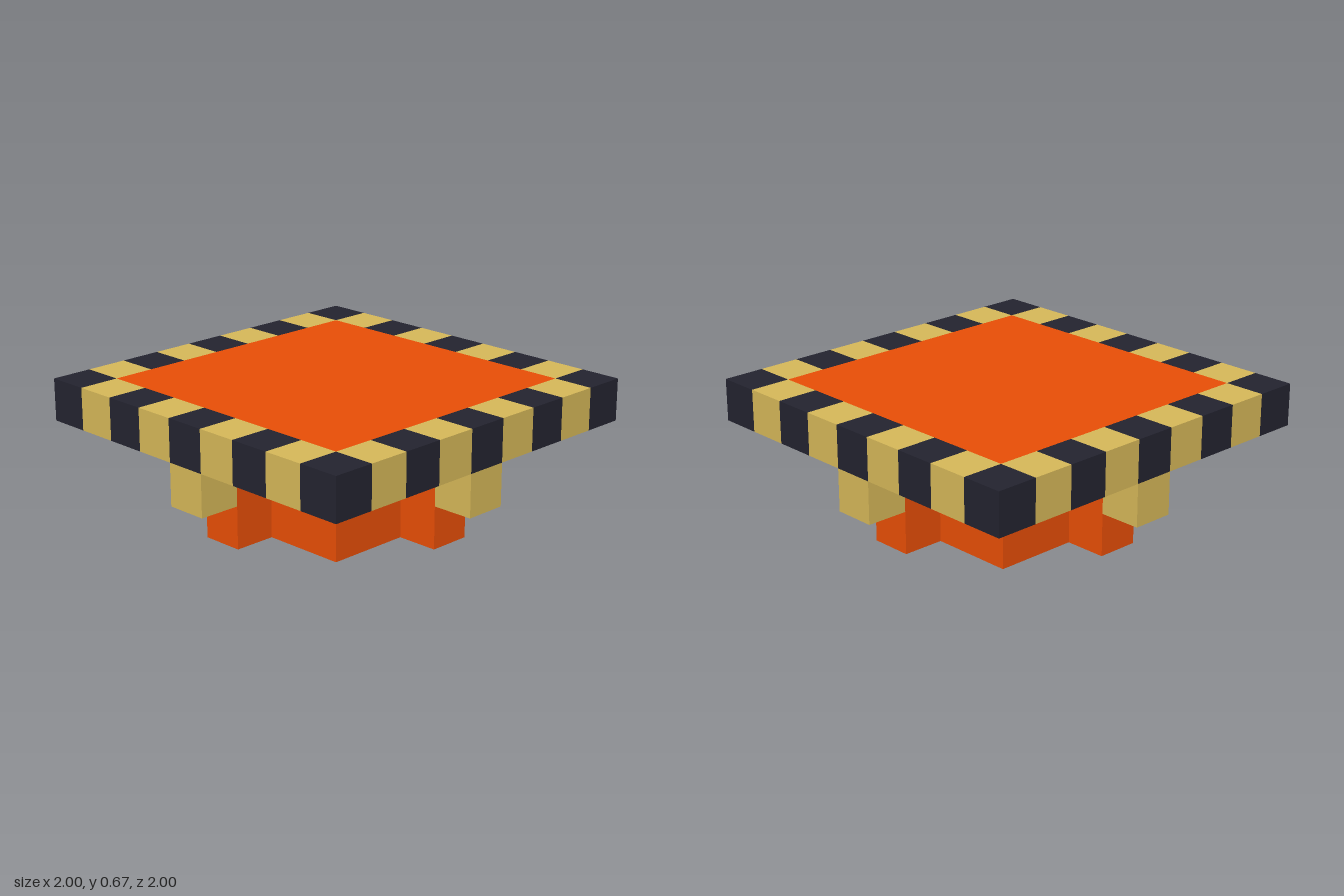
import * as THREE from 'three';

const S = 2 / 9; // edge of one cell; the slab is 9 x 9 cells, the model 3 cells high

function material(name, color) {
  const m = new THREE.MeshStandardMaterial({ color });
  m.name = name;
  return m;
}

export function createModel() {
  const orange = material('orange', 0xe84e06);
  const tan = material('tan', 0xd5b758);
  const dark = material('charcoal', 0x23232f);
  const model = new THREE.Group();
  model.name = 'checkeredTable';

  function add(parent, name, geometry, mat) {
    const mesh = new THREE.Mesh(geometry, mat);
    mesh.name = name;
    parent.add(mesh);
    return mesh;
  }

  // box of w x 1 x w cells centred on cell (x, z) of the given layer
  function block(parent, name, x, layer, z, mat, w = 1) {
    add(parent, name, new THREE.BoxGeometry(w * S, S, w * S), mat)
      .position.set(x * S, (layer + 0.5) * S, z * S);
  }

  // one-cell-high layer whose outline is given as four quarters, each turned 90 degrees further
  function layerGeometry(quarters, layer) {
    const points = quarters.flatMap((quarter, i) => quarter.map(([x, y]) => {
      for (let k = 0; k < i; k++) [x, y] = [-y, x];
      return new THREE.Vector2(x * S, y * S);
    }));
    const g = new THREE.ExtrudeGeometry(new THREE.Shape(points), { depth: S, bevelEnabled: false });
    return g.rotateX(Math.PI / 2).translate(0, (layer + 1) * S, 0);
  }

  // bottom: square foot with a tab in the middle of each side
  const foot = [[3.5, 0.5], [2.5, 0.5], [2.5, 2.5], [0.5, 2.5], [0.5, 3.5]];
  add(model, 'foot', layerGeometry([foot, foot, foot, foot], 0), orange);

  // middle: the same outline with its corners cut away, one cell replaced by a dark block
  const stepped = [[3.5, 0.5], [2.5, 0.5], [2.5, 1.5], [1.5, 1.5], [1.5, 2.5], [0.5, 2.5], [0.5, 3.5]];
  const notched = [[3.5, 0.5], [1.5, 0.5], [1.5, 2.5], [0.5, 2.5], [0.5, 3.5]];
  add(model, 'core', layerGeometry([notched, stepped, stepped, stepped], 1), orange);
  block(model, 'darkBlock', 2, 1, 1, dark);

  // brackets under the middle of each edge
  for (const [x, z] of [[4, 0], [-4, 0], [0, 4], [0, -4]]) block(model, 'bracket', x, 1, z, tan);

  // top: orange panel inside a checkered rim
  block(model, 'topPanel', 0, 2, 0, orange, 7);
  const rim = new THREE.Group();
  rim.name = 'checkeredRim';
  model.add(rim);
  for (let x = -4; x <= 4; x++) {
    for (let z = -4; z <= 4; z++) {
      if (Math.max(Math.abs(x), Math.abs(z)) < 4) continue;
      block(rim, 'rimBlock', x, 2, z, (x + z) % 2 === 0 ? dark : tan);
    }
  }
  return model;
}
